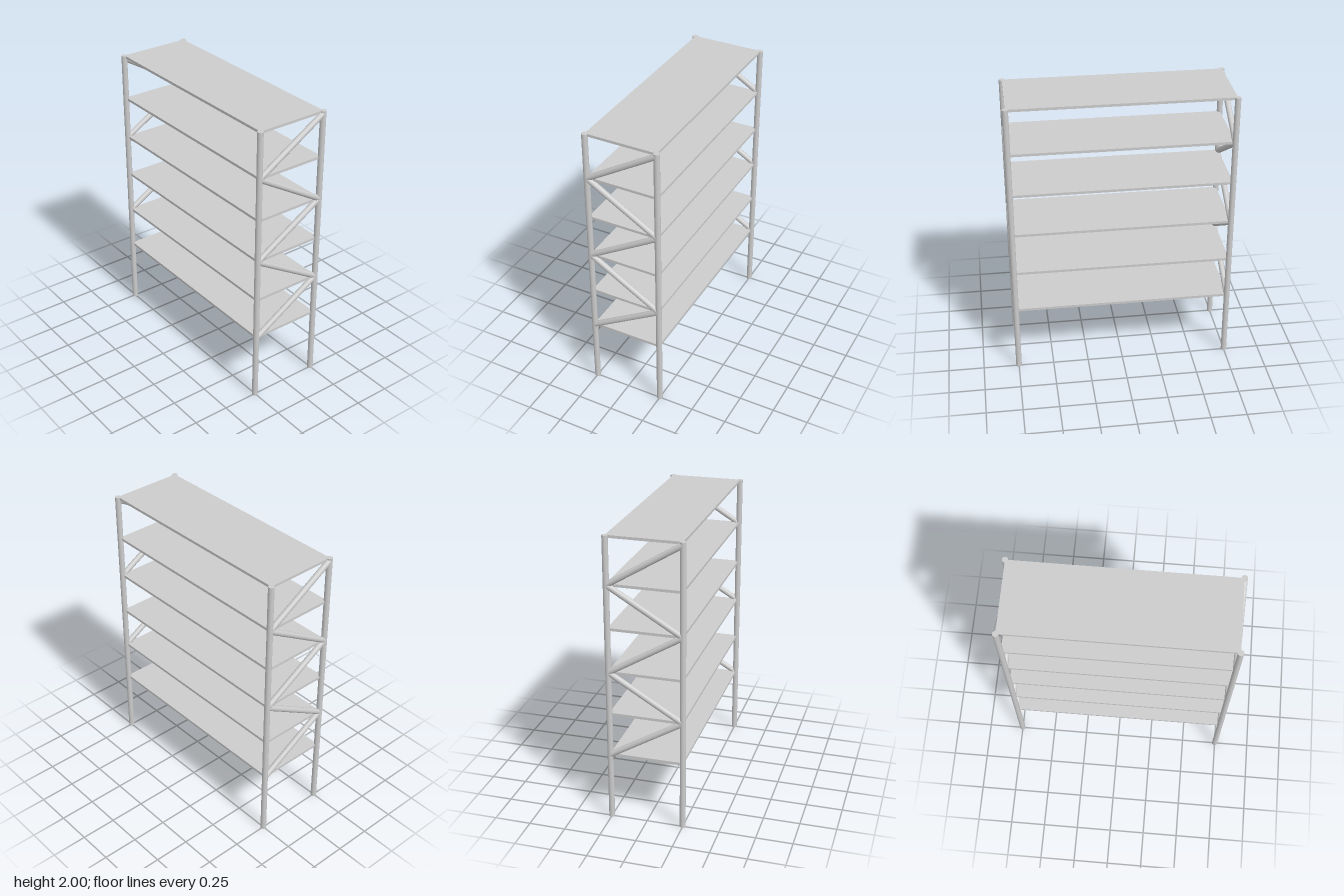
import * as THREE from 'three';

const HALF_W = 0.75, HALF_D = 0.25, RADIUS = 0.02;
const SHELF_Y = [0.475, 0.775, 1.075, 1.375, 1.675, 1.991];
const SHELF_T = 0.018;

export function createModel() {
  const model = new THREE.Group();
  const material = new THREE.MeshStandardMaterial({ color: 0xcccccc });

  // Round bar running between two points
  function bar(name, a, b) {
    const axis = b.clone().sub(a);
    const mesh = new THREE.Mesh(new THREE.CylinderGeometry(RADIUS, RADIUS, axis.length(), 24), material);
    mesh.position.copy(a).add(b).multiplyScalar(0.5);
    mesh.quaternion.setFromUnitVectors(new THREE.Vector3(0, 1, 0), axis.normalize());
    mesh.name = name;
    model.add(mesh);
  }

  // Corner posts
  for (const sx of [1, -1]) {
    for (const sz of [1, -1]) {
      const x = sx * HALF_W, z = sz * HALF_D;
      bar(`${sz > 0 ? 'front' : 'back'}${sx > 0 ? 'Left' : 'Right'}Post`,
        new THREE.Vector3(x, 0, z), new THREE.Vector3(x, 2, z));
    }
  }

  // Shelves
  SHELF_Y.forEach((y, i) => {
    const shelf = new THREE.Mesh(new THREE.BoxGeometry(HALF_W * 2, SHELF_T, HALF_D * 2), material);
    shelf.position.y = y;
    shelf.name = `shelf${i + 1}`;
    model.add(shelf);
  });

  // Zigzag end braces, the two ends being half a turn apart
  const nodeY = SHELF_Y.map((y) => Math.min(y, 1.98));
  for (const s of [1, -1]) {
    for (let i = 0; i < nodeY.length - 1; i++) {
      const z = s * HALF_D * (i % 2 ? -1 : 1);
      bar(`${s > 0 ? 'left' : 'right'}Brace${i + 1}`,
        new THREE.Vector3(s * HALF_W, nodeY[i], z),
        new THREE.Vector3(s * HALF_W, nodeY[i + 1], -z));
    }
  }
  return model;
}
